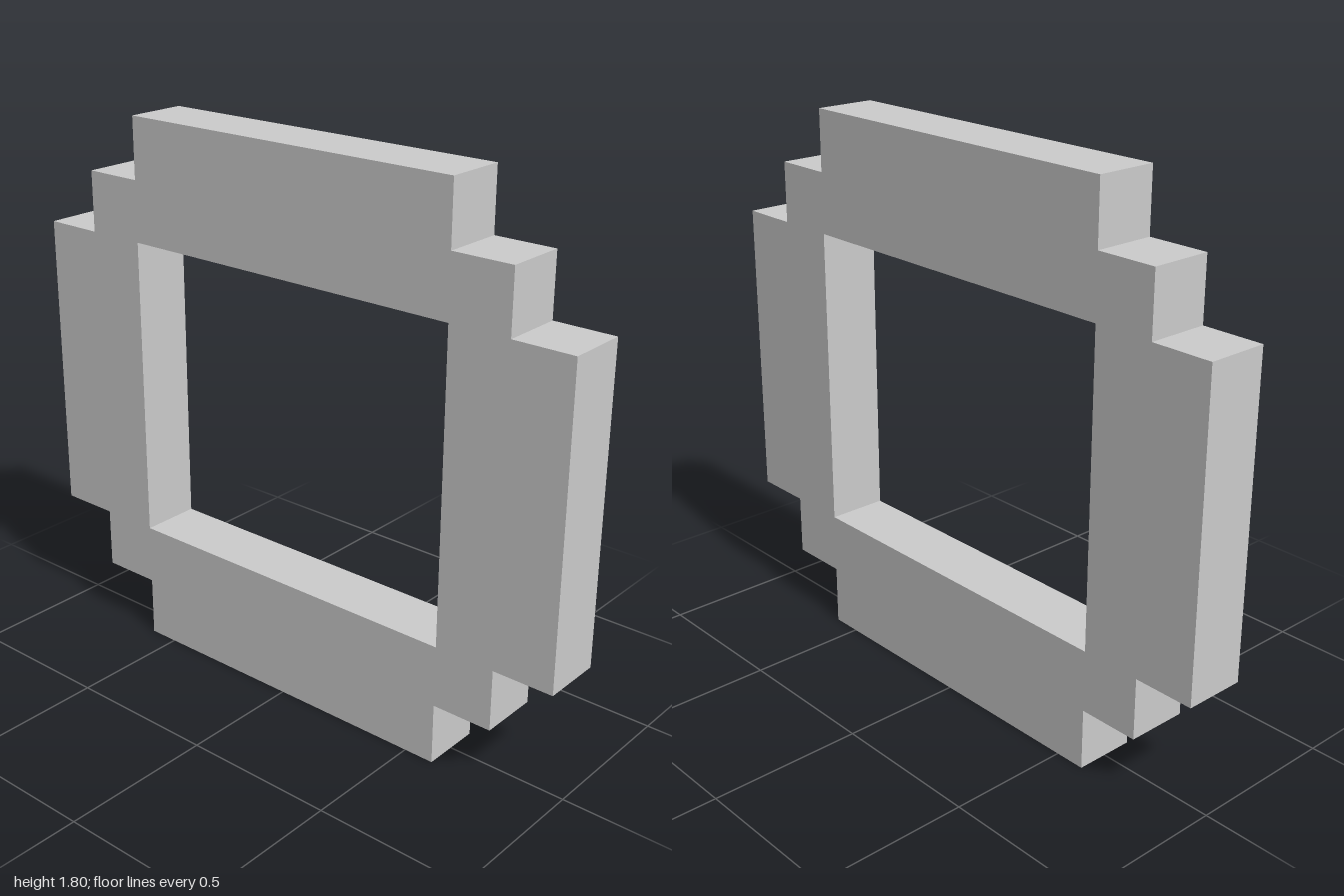
import * as THREE from 'three';

const DEPTH = 0.2;

export function createModel() {
  const group = new THREE.Group();
  group.name = 'steppedFrame';

  // One stepped corner, mirrored into all four quadrants counter-clockwise
  const corner = [[1, 0.5], [0.8, 0.5], [0.8, 0.7], [0.6, 0.7], [0.6, 0.9]];
  const outline = [];
  for (const [sx, sy] of [[1, 1], [-1, 1], [-1, -1], [1, -1]]) {
    const steps = sx * sy > 0 ? corner : [...corner].reverse();
    for (const [x, y] of steps) outline.push(new THREE.Vector2(sx * x, sy * y + 0.9));
  }
  const shape = new THREE.Shape(outline);

  // Rectangular opening
  const opening = [[-0.6, 0.4], [-0.6, 1.4], [0.6, 1.4], [0.6, 0.4]];
  shape.holes.push(new THREE.Path(opening.map(([x, y]) => new THREE.Vector2(x, y))));

  // Flat ring with square edges
  const geometry = new THREE.ExtrudeGeometry(shape, { depth: DEPTH, bevelEnabled: false });
  geometry.translate(0, 0, -DEPTH / 2);

  const material = new THREE.MeshStandardMaterial({ color: 0xcccccc, flatShading: true });
  const frame = new THREE.Mesh(geometry, material);
  frame.name = 'frame';
  group.add(frame);
  return group;
}
